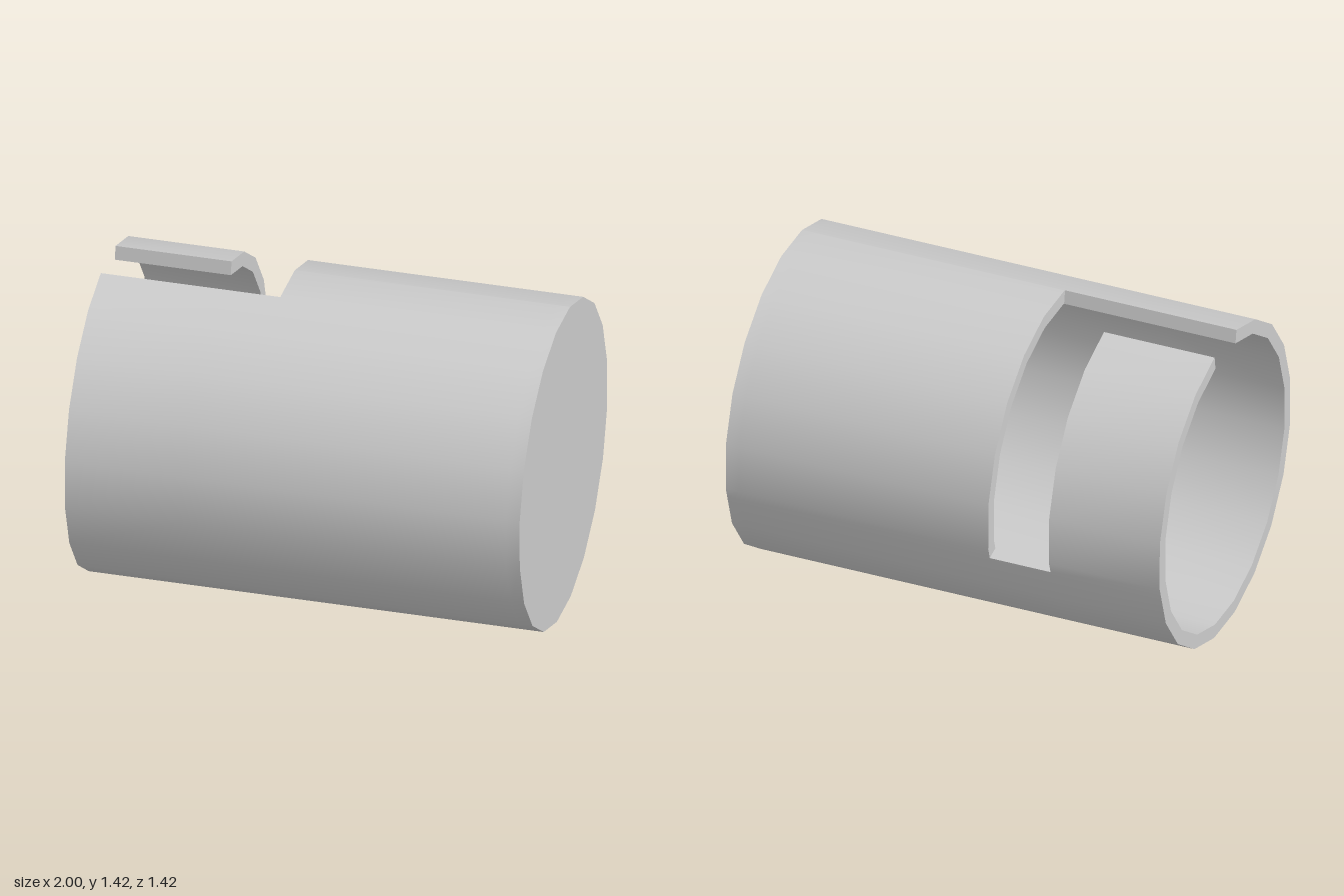
import * as THREE from 'three';
import { toCreasedNormals } from 'three/addons/utils/BufferGeometryUtils.js';

const SIDES = 20, TILT = -0.5;            // facets, degrees of roll about the axis
const OUTER = 0.709, INNER = 0.647;       // apothems of the wall
const CENTER_Y = 0.71;
const SLOT = { start: -10.1, mid: 9, end: 103 }; // degrees from the top towards the back
const XS = [-1, -0.49, -0.21, 0.94, 1];   // open rim, slot, slot end, floor, closed end

// Point on the faceted wall: angle runs from +y towards -z
function point(x, apothem, deg) {
  const step = 360 / SIDES;
  const t = (deg - TILT) / step;
  const off = (t - Math.round(t)) * step;
  const r = apothem / Math.cos(THREE.MathUtils.degToRad(off));
  const a = THREE.MathUtils.degToRad(deg);
  return [x, CENTER_Y + r * Math.cos(a), -r * Math.sin(a)];
}

function sleeveGeometry() {
  // Facet corners plus the slot edges
  const angles = [SLOT.start, SLOT.mid, SLOT.end];
  for (let k = 0; k < SIDES; k++) angles.push(TILT - 9 + (k + 1) * 18);
  angles.push(TILT - 9 + 360 - 360);
  const sorted = [...new Set(angles.map((a) => (a < SLOT.start ? a + 360 : a)))]
    .filter((a) => a < SLOT.start + 360 - 1e-6)
    .filter((a, i, all) => all.findIndex((b) => Math.abs(((b - a + 540) % 360) - 180) < 1e-6) === i)
    .sort((a, b) => a - b);
  const n = sorted.length;
  const angle = (i) => (i < n ? sorted[i] : sorted[0] + 360);

  // The L-shaped slot: along the top to the rim, then round the back
  const solid = (i, j) => {
    if (j < 0 || j > 3) return false;
    const k = (i + n) % n;
    const mid = (angle(k) + angle(k + 1)) / 2;
    if (j === 0) return mid > SLOT.mid;
    if (j === 1) return mid > SLOT.end;
    return true;
  };

  const pos = [];
  const tri = (a, b, c) => pos.push(...a, ...b, ...c);
  const quad = (a, b, c, d) => { tri(a, b, c); tri(a, c, d); };

  for (let i = 0; i < n; i++) {
    const a0 = angle(i), a1 = angle(i + 1);
    for (let j = 0; j < 4; j++) {
      if (!solid(i, j)) continue;
      const x0 = XS[j], x1 = XS[j + 1];
      const o00 = point(x0, OUTER, a0), o10 = point(x1, OUTER, a0);
      const o01 = point(x0, OUTER, a1), o11 = point(x1, OUTER, a1);
      const i00 = point(x0, INNER, a0), i10 = point(x1, INNER, a0);
      const i01 = point(x0, INNER, a1), i11 = point(x1, INNER, a1);
      quad(o00, o10, o11, o01);                           // outside
      if (j === 3) {
        tri([x1, CENTER_Y, 0], o11, o10);                 // closed end
        tri([x0, CENTER_Y, 0], i00, i01);                 // inner floor
        continue;
      }
      quad(i00, i01, i11, i10);                           // inside
      if (!solid(i - 1, j)) quad(i00, i10, o10, o00);     // slot and rim edges
      if (!solid(i + 1, j)) quad(i01, o01, o11, i11);
      if (!solid(i, j - 1)) quad(i00, o00, o01, i01);
      if (!solid(i, j + 1)) quad(i10, i11, o11, o10);
    }
  }
  const geometry = new THREE.BufferGeometry();
  geometry.setAttribute('position', new THREE.Float32BufferAttribute(pos, 3));
  return toCreasedNormals(geometry, 0.6);
}

export function createModel() {
  const group = new THREE.Group();
  group.name = 'bayonetSocket';
  const sleeve = new THREE.Mesh(
    sleeveGeometry(),
    new THREE.MeshStandardMaterial({ color: 0xcccccc })
  );
  sleeve.name = 'slottedSleeve';
  group.add(sleeve);
  return group;
}
